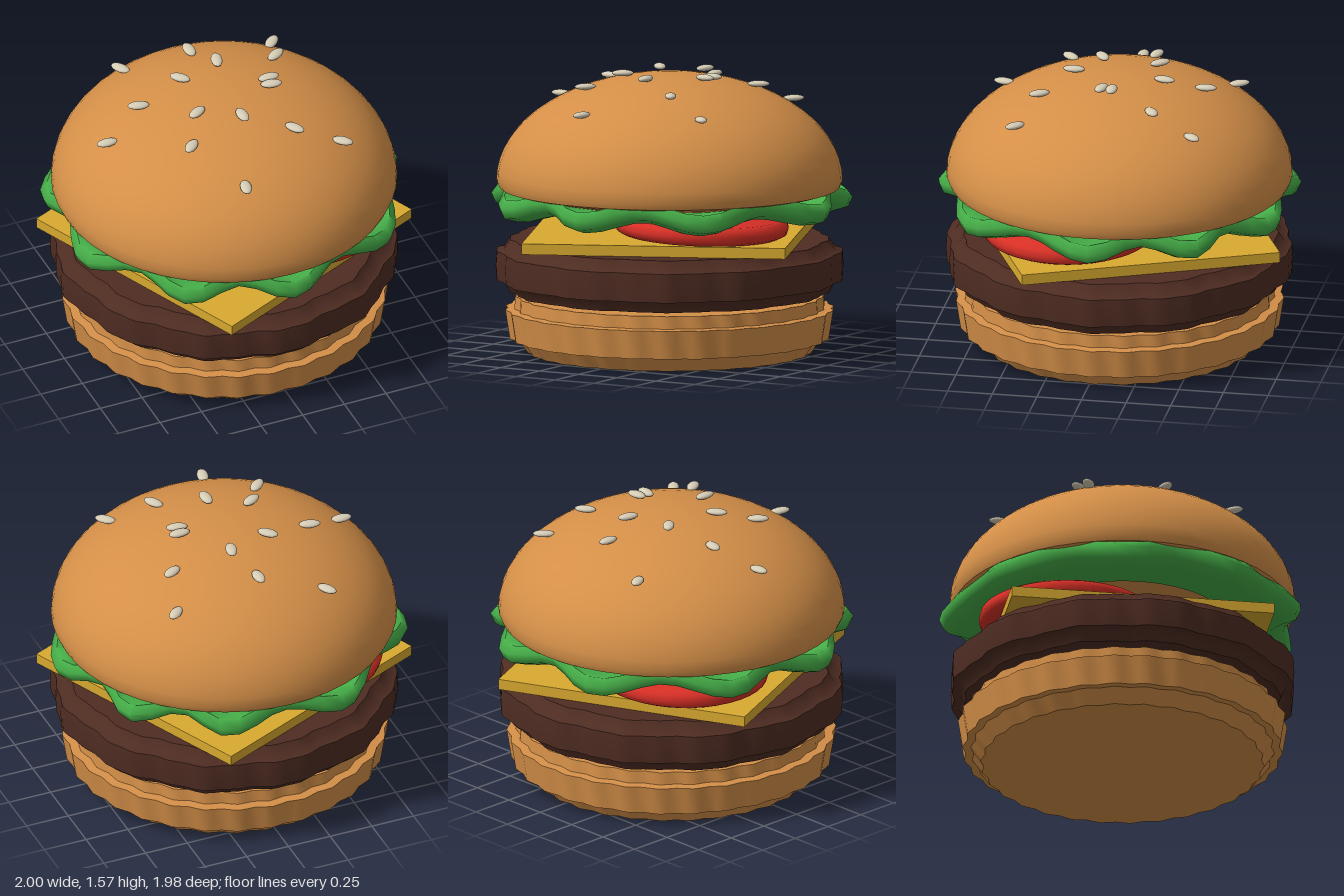
import * as THREE from 'three';
import { toCreasedNormals } from 'three/addons/utils/BufferGeometryUtils.js';

const paint = (name, color) => {
  const m = new THREE.MeshStandardMaterial({ color });
  m.name = name;
  return m;
};

// Lathe whose vertices are moved by rule(angle, radius, y) -> [radius, y]
function wobblyLathe(profile, segments, rule, crease = 0.6) {
  const points = profile.map(([r, y]) => new THREE.Vector2(r, y));
  const geo = new THREE.LatheGeometry(points, segments);
  const p = geo.attributes.position;
  for (let i = 0; i < p.count && rule; i++) {
    const x = p.getX(i), z = p.getZ(i), r = Math.hypot(x, z);
    if (r < 0.01) continue;
    const [nr, ny] = rule(Math.atan2(z, x), r, p.getY(i));
    p.setXYZ(i, (x / r) * nr, ny, (z / r) * nr);
  }
  return toCreasedNormals(geo, crease);
}

// Leaf wave: +1 at each outward fold, -1 halfway between folds
const folds = [0, 48, 90, 125, 165, 203, 250, 292, 325, 360];
function leafWave(angle) {
  const deg = (THREE.MathUtils.radToDeg(angle) + 720.001) % 360;
  const i = folds.findIndex((f) => f > deg) - 1;
  return Math.cos((2 * Math.PI * (deg - folds[i])) / (folds[i + 1] - folds[i]));
}

export function createModel() {
  const bun = paint('toasted bun', 0xd48f48);
  const meat = paint('grilled meat', 0x4e2c22);
  const cheese = paint('yellow cheese', 0xd9aa30);
  const tomato = paint('red tomato', 0xd93026);
  const leaf = paint('green leaf', 0x46ae48);
  const seedColor = paint('pale seed', 0xd6cdb6);

  const model = new THREE.Group();
  const stack = new THREE.Group();
  stack.name = 'burger';
  stack.position.set(-0.03, 0, -0.025);
  model.add(stack);
  const add = (name, geo, mat, parent = stack) => {
    const mesh = new THREE.Mesh(geo, mat);
    mesh.name = name;
    parent.add(mesh);
    return mesh;
  };

  // Bottom bun with a finely rippled, stepped rim
  add('bottomBun', wobblyLathe(
    [[0, 0], [0.775, 0], [0.83, 0.08], [0.875, 0.08], [0.9, 0.24], [0.85, 0.245], [0.845, 0.315], [0, 0.315]],
    120,
    (a, r, y) => [r + 0.009 * Math.cos(30 * a), y]), bun);

  // Patty with an uneven edge
  add('patty', wobblyLathe(
    [[0, 0.34], [0.875, 0.34], [0.905, 0.4], [0.945, 0.405], [0.95, 0.485], [0.945, 0.565], [0.905, 0.575], [0.87, 0.63], [0, 0.63]],
    120,
    (a, r, y) => [r + 0.012 * Math.cos(12 * a) + 0.006 * Math.cos(30 * a), y], 1.0), meat);

  // Cheese slice, turned so the corners stick out
  const slice = add('cheeseSlice', new THREE.BoxGeometry(1.465, 0.06, 1.465), cheese);
  slice.position.y = 0.66;
  slice.rotation.y = THREE.MathUtils.degToRad(24);

  // Two overlapping tomato slices, leaning on each other
  const tomatoGeo = wobblyLathe(
    [[0, -0.05], [0.44, -0.05], [0.47, -0.035], [0.48, 0], [0.47, 0.035], [0.44, 0.05], [0, 0.05]], 40, null, 0.9);
  [[0.34, 0.22, 1], [-0.33, -0.235, -1]].forEach(([x, z, side]) => {
    const t = add('tomatoSlice', tomatoGeo, tomato);
    t.position.set(x, 0.757, z);
    t.rotation.z = -0.035 * side;
  });

  // Folded lettuce ring: outward folds hang lower
  add('lettuce', wobblyLathe(
    [[0.6, 0.83], [0.86, 0.8], [0.94, 0.825], [0.965, 0.88], [0.93, 0.925], [0.85, 0.9], [0.6, 0.88]],
    60,
    (a, r, y) => {
      const w = leafWave(a) * THREE.MathUtils.smoothstep(r, 0.6, 0.9);
      return [r + 0.05 * w, y - 0.032 * w];
    }, 1.2), leaf);

  // Domed top bun
  const dome = [[0, 0.845], [0.6, 0.845], [0.89, 0.905], [0.94, 0.92]];
  for (let i = 0; i <= 16; i++) {
    const t = (i / 16) * Math.PI / 2;
    dome.push([i === 16 ? 0 : 0.955 * Math.cos(t), 0.955 + 0.595 * Math.sin(t)]);
  }
  add('topBun', wobblyLathe(dome, 48, null, 0.8), bun);

  // Sesame seeds lie flat and point away from the crown
  const seeds = new THREE.Group();
  seeds.name = 'sesameSeeds';
  model.add(seeds);
  const seedGeo = new THREE.SphereGeometry(1, 14, 10).scale(0.061, 0.018, 0.032);
  [[-0.39, -0.63], [-0.03, -0.51], [0.04, -0.29], [0.47, -0.52], [0.39, -0.28], [-0.21, -0.22],
    [-0.49, -0.15], [-0.73, -0.03], [0.24, -0.03], [0.23, 0.03], [-0.25, 0.11], [-0.03, 0.23],
    [-0.37, 0.31], [0.22, 0.38], [0.47, 0.47], [-0.19, 0.65]].forEach(([x, z]) => {
    const dx = x + 0.03, dz = z + 0.025, r = Math.hypot(dx, dz);
    const seed = add('sesameSeed', seedGeo, seedColor, seeds);
    seed.position.set(x, r < 0.35 ? 1.55 : r < 0.6 ? 1.49 : 1.387, z);
    seed.rotation.y = -Math.atan2(dz, dx);
  });

  return model;
}
